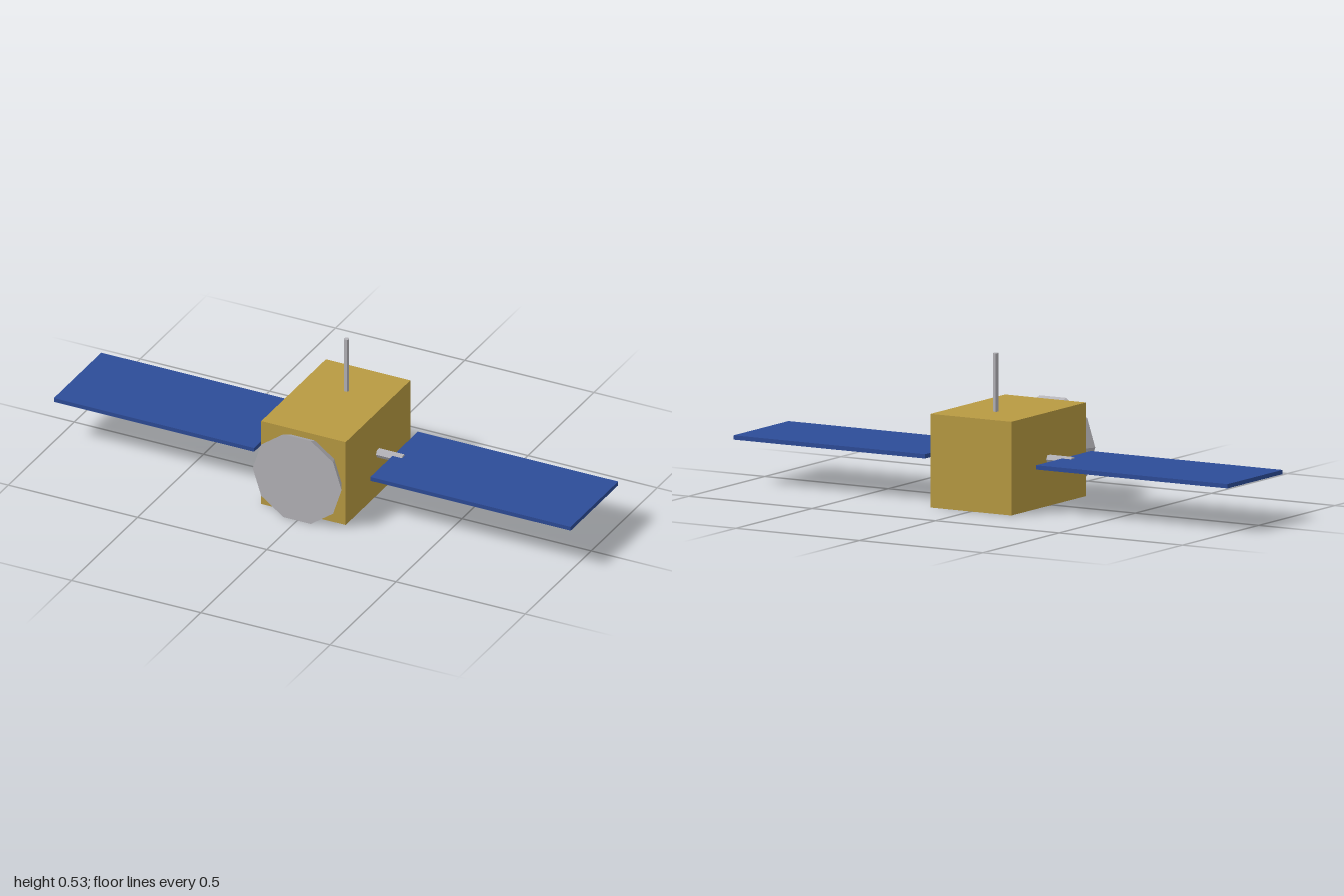
import * as THREE from 'three';

export function createModel() {
  const model = new THREE.Group();
  model.name = 'satellite';

  const material = (name, color) => {
    const m = new THREE.MeshStandardMaterial({ color, flatShading: true });
    m.name = name;
    return m;
  };
  const gold = material('gold foil', 0xb89a42);
  const blue = material('solar blue', 0x2d4c98);
  const silver = material('silver metal', 0xb4b3b8);

  const add = (name, geometry, mat, x, y, z) => {
    const mesh = new THREE.Mesh(geometry, mat);
    mesh.name = name;
    mesh.position.set(x, y, z);
    model.add(mesh);
    return mesh;
  };

  const midY = 0.1635;
  const bodyZ = -0.023;

  // Main box
  add('body', new THREE.BoxGeometry(0.327, 0.327, 0.49), gold, 0, midY, bodyZ);

  // Solar wings and their hexagonal struts, mirrored
  for (const side of [1, -1]) {
    const label = side > 0 ? 'left' : 'right';
    add(label + 'SolarPanel', new THREE.BoxGeometry(0.775, 0.015, 0.36), blue, side * 0.6125, midY + 0.001, -0.0245);
    const strut = new THREE.CylinderGeometry(0.0163, 0.0163, 0.12, 6).rotateZ(Math.PI / 2);
    add(label + 'Strut', strut, silver, side * 0.202, midY, bodyZ);
  }

  // Mast on the roof
  const mast = new THREE.CylinderGeometry(0.01, 0.01, 0.215, 6).rotateY(Math.PI / 6);
  add('mast', mast, silver, 0, 0.4235, -0.105);

  // Shallow ten-sided dish: half of a flattened sphere, closed by a flat face
  const profile = [0, 30, 60, 90].map((deg) => {
    const a = THREE.MathUtils.degToRad(deg);
    return new THREE.Vector2(0.172 * Math.sin(a), -0.09 * Math.cos(a));
  });
  profile.push(new THREE.Vector2(0, 0));
  const dish = new THREE.LatheGeometry(profile, 10, Math.PI / 2).rotateX(Math.PI / 2);
  add('dish', dish, silver, 0, midY, 0.27);

  return model;
}
